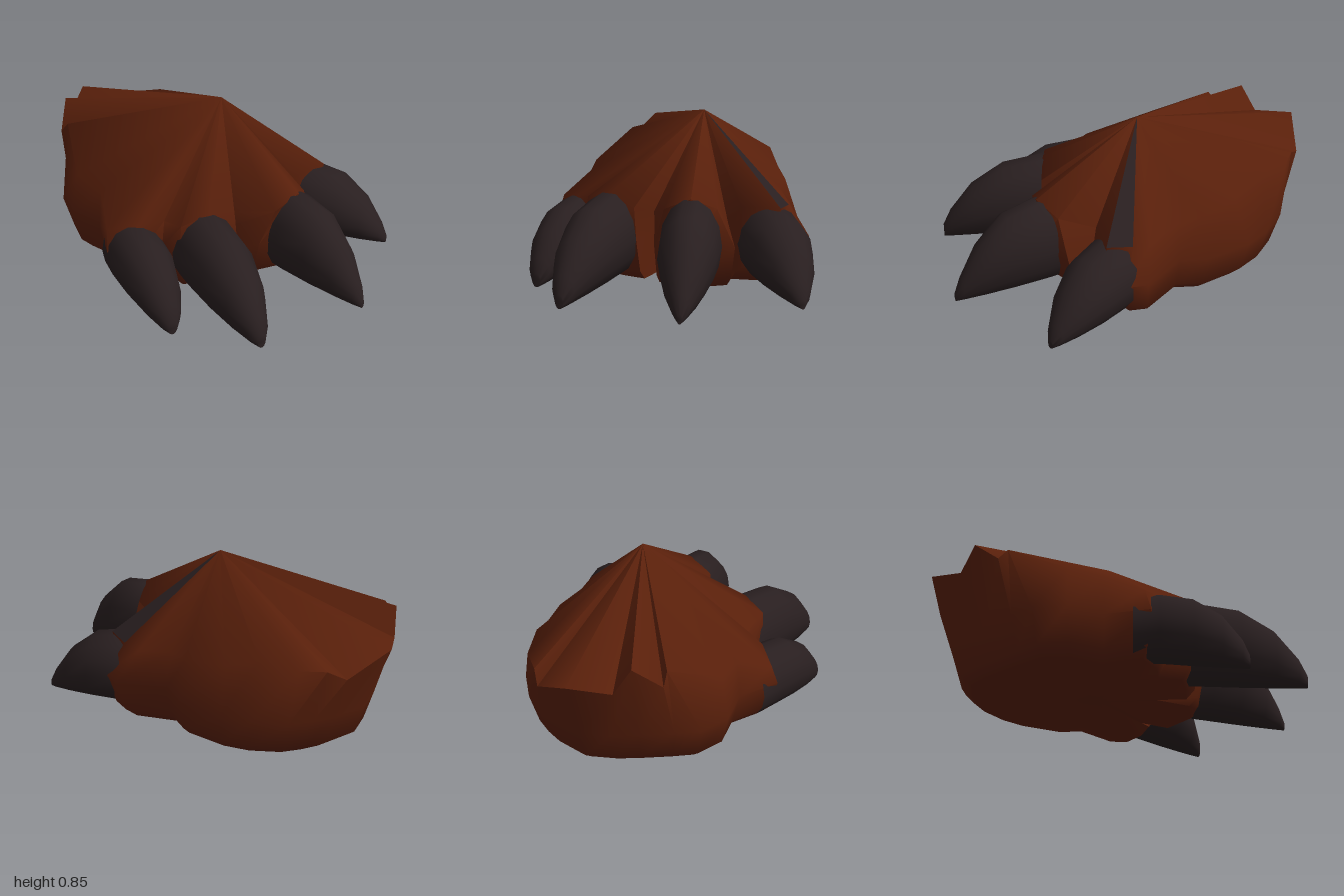
import * as THREE from 'three';
import { toCreasedNormals } from 'three/addons/utils/BufferGeometryUtils.js';

const hide = new THREE.MeshStandardMaterial({ color: 0x5a200b });
const horn = new THREE.MeshStandardMaterial({ color: 0x291f20 });
hide.name = 'brown hide';
horn.name = 'dark horn';

const APEX = [0.18, 0.855, 0];

// Columns around the paw, from the back past +x to the front:
// rim x, y, z, then x, z of the bulge below it.
const COLUMNS = [
  [0.20, 0.60, -1.00, 0.20, -0.87],
  [0.40, 0.49, -0.88, 0.38, -0.80],
  [0.45, 0.53, -0.80, 0.47, -0.74],
  [0.53, 0.54, -0.70, 0.56, -0.66],
  [0.57, 0.55, -0.50, 0.65, -0.50],
  [0.60, 0.48, -0.32, 0.69, -0.35],
  [0.62, 0.46, -0.10, 0.69, -0.10],
  [0.58, 0.44, 0.02, 0.62, 0.03],
  [0.61, 0.41, 0.20, 0.71, 0.28],
  [0.60, 0.42, 0.30, 0.67, 0.38],
  [0.55, 0.43, 0.42, 0.52, 0.41],
  [0.36, 0.42, 0.36, 0.35, 0.38],
  [0.30, 0.30, 0.20, 0.31, 0.26],
  [0.23, 0.45, 0.50, 0.32, 0.50],
  [0.10, 0.51, 0.55, 0.10, 0.55],
  [-0.03, 0.45, 0.50, -0.08, 0.44],
  [-0.08, 0.36, 0.20, -0.08, 0.20],
  [-0.18, 0.42, 0.36, -0.17, 0.37],
  [-0.30, 0.48, 0.28, -0.30, 0.30],
  [-0.42, 0.44, 0.20, -0.43, 0.20],
  [-0.38, 0.40, 0.06, -0.40, 0.06],
  [-0.48, 0.39, -0.02, -0.50, 0.00],
  [-0.57, 0.36, -0.16, -0.60, -0.14],
  [-0.43, 0.46, -0.32, -0.45, -0.32],
  [-0.41, 0.48, -0.50, -0.45, -0.52],
  [-0.21, 0.62, -0.74, -0.36, -0.66],
  [-0.21, 0.56, -0.79, -0.24, -0.72],
  [-0.08, 0.68, -0.87, -0.08, -0.79],
  [0.00, 0.55, -0.91, 0.05, -0.84],
];
const STRIP = 9; // the fan facet that is dark horn

function surface(points, faces, crease) {
  const g = new THREE.BufferGeometry();
  g.setAttribute('position', new THREE.Float32BufferAttribute(points.flat(), 3));
  g.setIndex(faces.flat());
  return toCreasedNormals(g, crease);
}

function addMesh(group, name, geometry, material) {
  const mesh = new THREE.Mesh(geometry, material);
  mesh.name = name;
  group.add(mesh);
}

// Side walls and sole: rim, bulge, low ring and flat base, closed by a pointed fan
function pawGeometry() {
  const n = COLUMNS.length;
  const cx = 0.1, cz = -0.1;
  const shrink = (c, y, k) => [cx + (c[3] - cx) * k, y, cz + (c[4] - cz) * k];
  const points = [
    ...COLUMNS.map((c) => c.slice(0, 3)),
    ...COLUMNS.map((c) => shrink(c, 0.25, 1)),
    ...COLUMNS.map((c) => shrink(c, 0.08, 0.93)),
    ...COLUMNS.map((c) => shrink(c, 0.03, 0.85)),
    [cx, 0.03, cz],
    APEX,
  ];
  const faces = [];
  for (let i = 0; i < n; i++) {
    const j = (i + 1) % n;
    for (let r = 0; r < 3; r++) {
      const a = r * n, b = a + n;
      faces.push([a + i, a + j, b + j], [a + i, b + j, b + i]);
    }
    faces.push([4 * n, 3 * n + i, 3 * n + j]);
    if (i !== STRIP) faces.push([4 * n + 1, j, i]);
  }
  return surface(points, faces, 1.2);
}

// Claw: cross-sections along a line from base to tip [t, width, height]
const SECTIONS = [
  [-0.3, 0.85, 0.92], [0, 1, 1], [0.38, 0.92, 0.91],
  [0.7, 0.63, 0.62], [0.92, 0.28, 0.27], [1, 0.08, 0.1],
];

// fullness below 1 keeps the claw thick until close to its tip;
// floor gives the underside height at base and tip
function clawGeometry({ base, tip, halfWidth, top, floor, fullness }) {
  const sides = 14;
  const dx = tip[0] - base[0], dz = tip[1] - base[1];
  const len = Math.hypot(dx, dz);
  const points = [], faces = [];
  SECTIONS.forEach(([t, w, h], k) => {
    const lo = THREE.MathUtils.lerp(floor[0], floor[1], Math.max(t, 0));
    const hi = lo + (top - lo) * h ** fullness;
    for (let i = 0; i < sides; i++) {
      const a = (i / sides) * Math.PI * 2;
      const s = Math.cos(a) * halfWidth * w ** fullness;
      points.push([
        base[0] + dx * t + (dz / len) * s,
        (hi + lo) / 2 + (Math.sin(a) * (hi - lo)) / 2,
        base[1] + dz * t - (dx / len) * s,
      ]);
      if (k === SECTIONS.length - 1) continue;
      const p = k * sides + i, q = k * sides + ((i + 1) % sides);
      faces.push([p, q, p + sides], [q, q + sides, p + sides]);
    }
  });
  // blunt tip
  const last = (SECTIONS.length - 1) * sides;
  for (let i = 1; i < sides - 1; i++) faces.push([last, last + i, last + i + 1]);
  return surface(points, faces, 1.0);
}

export function createModel() {
  const model = new THREE.Group();
  model.name = 'clawedPaw';
  addMesh(model, 'paw', pawGeometry(), hide);

  // Dark sliver running from the peak to the left claw
  const strip = [APEX, COLUMNS[STRIP + 1].slice(0, 3), COLUMNS[STRIP].slice(0, 3)];
  addMesh(model, 'hornStrip', surface(strip, [[0, 1, 2]], 0.5), horn);

  const claws = {
    leftClaw: {
      base: [0.51, 0.37], tip: [0.63, 0.79], halfWidth: 0.17, top: 0.43, floor: [0.04, 0.03], fullness: 0.95,
    },
    middleClaw: {
      base: [0.10, 0.54], tip: [0.04, 1.0], halfWidth: 0.155, top: 0.51, floor: [0.04, 0.03], fullness: 1,
    },
    rightClaw: {
      base: [-0.31, 0.28], tip: [-0.53, 0.78], halfWidth: 0.165, top: 0.48, floor: [0.04, 0.03], fullness: 0.8,
    },
    outerRightClaw: {
      base: [-0.49, -0.04], tip: [-0.68, 0.35], halfWidth: 0.15, top: 0.385, floor: [0.035, 0], fullness: 0.72,
    },
  };
  for (const [name, spec] of Object.entries(claws)) addMesh(model, name, clawGeometry(spec), horn);
  return model;
}
